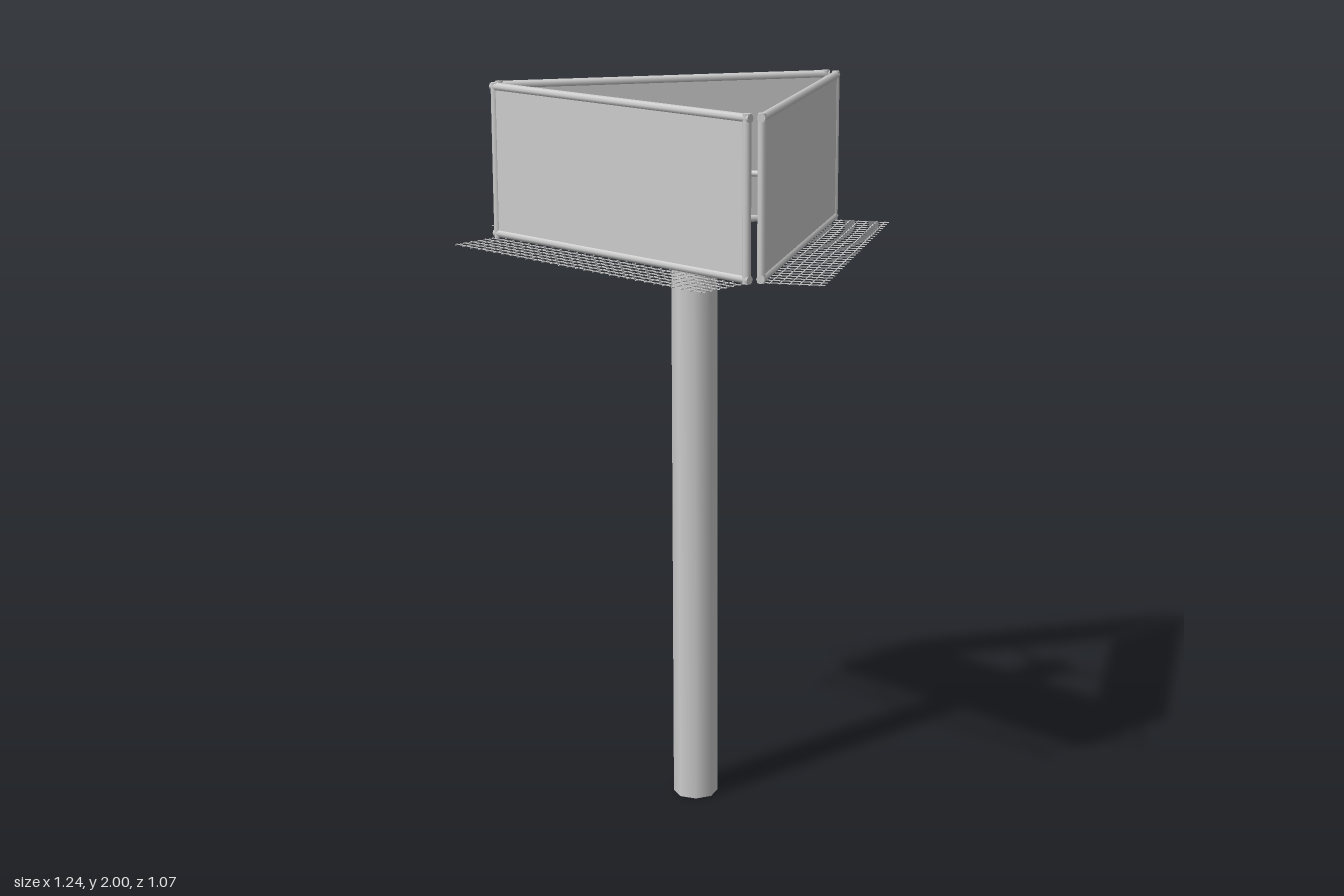
import * as THREE from 'three';

const WIDTH = 0.95, BOTTOM = 1.58, TOP = 2, RAIL = 0.011;
const POLE_Z = 0.081, PANEL_DIST = 0.29, ARM_Y = 1.78;

const grey = new THREE.MeshStandardMaterial({ color: 0xcccccc });

function add(parent, name, geometry, x = 0, y = 0, z = 0) {
  const mesh = new THREE.Mesh(geometry, grey);
  mesh.name = name;
  mesh.position.set(x, y, z);
  parent.add(mesh);
  return mesh;
}

// Framed sign board facing +z, centred on x
function makeBoard() {
  const board = new THREE.Group();
  board.name = 'board';
  const height = TOP - BOTTOM, midY = (TOP + BOTTOM) / 2;
  add(board, 'sheet', new THREE.BoxGeometry(WIDTH - RAIL, height - RAIL, 0.01), 0, midY, 0);
  const across = new THREE.CylinderGeometry(RAIL, RAIL, WIDTH, 8).rotateZ(Math.PI / 2);
  const upright = new THREE.CylinderGeometry(RAIL, RAIL, height, 8);
  for (const s of [-1, 1]) {
    add(board, 'frameRail', across, 0, midY + s * (height / 2 - RAIL), 0);
    add(board, 'frameUpright', upright, s * (WIDTH / 2 - RAIL), midY, 0);
  }
  return board;
}

// Wire mesh walkway in front of the board
function makeWalkway() {
  const walkway = new THREE.Group();
  walkway.name = 'walkway';
  const wire = 0.0022, near = 0.005, far = 0.16, crossCount = 30, longCount = 6;
  const cross = new THREE.BoxGeometry(wire, wire, far - near);
  const long = new THREE.BoxGeometry(0.93, wire, wire);
  for (let i = 0; i < crossCount; i++) {
    add(walkway, 'crossWire', cross, -0.456 + (i * 0.912) / (crossCount - 1), BOTTOM, (near + far) / 2);
  }
  for (let i = 0; i < longCount; i++) {
    add(walkway, 'longWire', long, 0, BOTTOM, 0.021 + i * 0.0253);
  }
  return walkway;
}

// Horizontal arm from the pole to a board, with a thicker sleeve at its root
function makeArm() {
  const arm = new THREE.Group();
  arm.name = 'arm';
  const sleeve = new THREE.CylinderGeometry(0.014, 0.014, 0.055, 8).rotateX(Math.PI / 2);
  const rod = new THREE.CylinderGeometry(0.008, 0.008, 0.23, 8).rotateX(Math.PI / 2);
  add(arm, 'armSleeve', sleeve, 0, ARM_Y, 0.0675);
  add(arm, 'armRod', rod, 0, ARM_Y, 0.17);
  return arm;
}

export function createModel() {
  const model = new THREE.Group();
  model.name = 'billboard';

  const tower = new THREE.Group();
  tower.name = 'tower';
  tower.position.z = POLE_Z;
  model.add(tower);

  const poleHeight = 1.82;
  add(tower, 'pole', new THREE.CylinderGeometry(0.062, 0.062, poleHeight, 8), 0, poleHeight / 2, 0);

  // Three sides around the pole; the rear arms lean slightly forward
  for (const side of [-1, 0, 1]) {
    const face = new THREE.Group();
    face.name = 'side';
    face.rotation.y = side * THREE.MathUtils.degToRad(120);
    const board = makeBoard(), walkway = makeWalkway();
    board.position.z = walkway.position.z = PANEL_DIST;
    face.add(board, walkway);

    const arm = makeArm();
    arm.rotation.y = side * THREE.MathUtils.degToRad(115.5);
    tower.add(face, arm);
  }
  return model;
}
